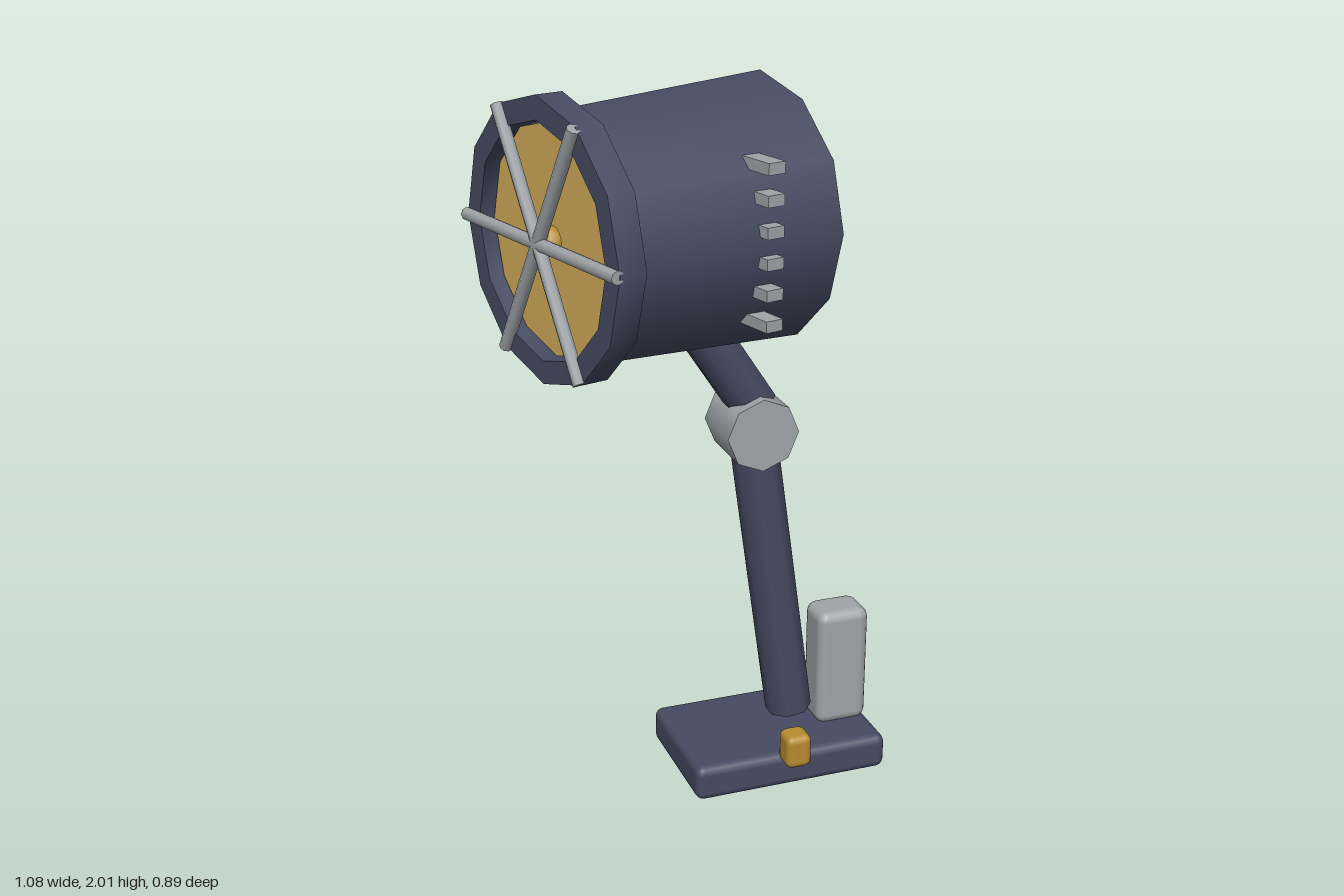
import * as THREE from 'three';
import { RoundedBoxGeometry } from 'three/addons/geometries/RoundedBoxGeometry.js';
import { toCreasedNormals } from 'three/addons/utils/BufferGeometryUtils.js';

const material = (name, color) => {
  const m = new THREE.MeshStandardMaterial({ color });
  m.name = name;
  return m;
};

export function createModel() {
  const navy = material('navy metal', 0x464b62);
  const grey = material('grey metal', 0xa0a4a8);
  const lensGold = material('pale gold lens', 0xd2ab5a);
  const knobGold = material('gold knob', 0xb88c30);

  const model = new THREE.Group();
  model.name = 'spotlight';

  const add = (parent, name, geometry, mat, x = 0, y = 0, z = 0) => {
    const mesh = new THREE.Mesh(geometry, mat);
    mesh.name = name;
    mesh.position.set(x, y, z);
    parent.add(mesh);
    return mesh;
  };

  // Eight-sided arm between two points in the plane z = 0
  const addArm = (name, x0, y0, x1, y1) => {
    const length = Math.hypot(x1 - x0, y1 - y0);
    const geometry = new THREE.CylinderGeometry(0.067, 0.067, length, 8).rotateY(Math.PI / 8);
    const arm = add(model, name, geometry, navy, (x0 + x1) / 2, (y0 + y1) / 2, 0);
    arm.rotation.z = -Math.atan2(x1 - x0, y1 - y0);
  };

  // Base with its counterweight and switch
  add(model, 'base', new RoundedBoxGeometry(0.58, 0.105, 0.39, 2, 0.025), navy, 0.25, 0.0525, -0.005);
  add(model, 'counterweight', new RoundedBoxGeometry(0.155, 0.36, 0.126, 2, 0.03), grey, 0.458, 0.275, 0);
  add(model, 'switchKnob', new RoundedBoxGeometry(0.075, 0.1, 0.078, 2, 0.02), knobGold, 0.247, 0.135, 0.206);

  // Jointed arm
  addArm('lowerArm', 0.31, 0.15, 0.182, 1.05);
  addArm('upperArm', 0.19, 1.1, -0.02, 1.42);
  add(model, 'elbowJoint', new THREE.CylinderGeometry(0.103, 0.103, 0.182, 8).rotateX(Math.PI / 2),
    grey, 0.183, 1.046, 0);

  // Head: origin at the centre of its back, local +z towards the lens
  const head = new THREE.Group();
  head.name = 'head';
  head.position.set(0.23, 1.635, -0.09);
  head.rotation.y = -THREE.MathUtils.degToRad(75);
  model.add(head);

  add(head, 'housing', new THREE.CylinderGeometry(0.328, 0.362, 0.583, 12).rotateX(Math.PI / 2),
    navy, 0, 0, 0.2915);
  add(head, 'lens', new THREE.CylinderGeometry(0.302, 0.302, 0.065, 12).rotateX(Math.PI / 2),
    lensGold, 0, 0, 0.603);
  add(head, 'bulb', new THREE.SphereGeometry(0.04, 10, 8), knobGold, 0, 0, 0.64);

  // Ring around the lens
  const ringProfile = [[0.37, 0.6], [0.37, 0.676], [0.308, 0.676], [0.308, 0.6], [0.37, 0.6]]
    .map(([r, y]) => new THREE.Vector2(r, y));
  const ring = toCreasedNormals(new THREE.LatheGeometry(ringProfile, 12), 0.7);
  add(head, 'lensRing', ring.rotateX(Math.PI / 2), navy);

  // Three crossed bars of the guard
  for (let i = 0; i < 3; i++) {
    const bar = add(head, 'guardBar', new THREE.CylinderGeometry(0.018, 0.018, 0.736, 8), grey, 0, 0, 0.681);
    bar.rotation.z = Math.PI / 2 + i * Math.PI / 3;
  }

  // Six cooling fins on each side
  const finGeometry = new THREE.BoxGeometry(0.11, 0.03, 0.05);
  for (const side of [-1, 1]) {
    for (let i = 0; i < 6; i++) {
      add(head, 'coolingFin', finGeometry, grey, side * 0.317, (i - 2.5) * 0.08, 0.222);
    }
  }

  return model;
}
